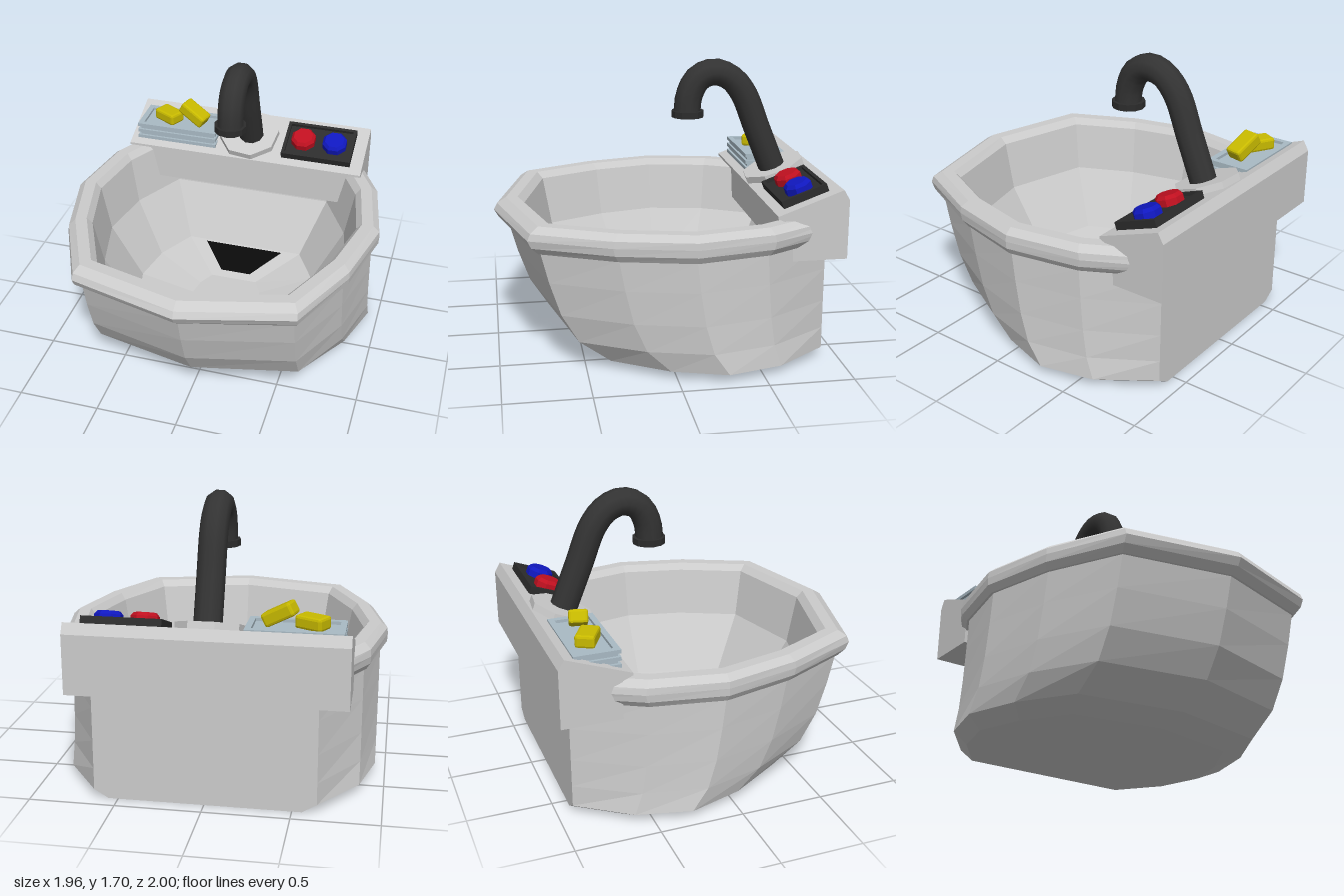
import * as THREE from 'three';
import { RoundedBoxGeometry } from 'three/addons/geometries/RoundedBoxGeometry.js';

const mat = (color, flat = true) =>
  new THREE.MeshStandardMaterial({ color, flatShading: flat, side: THREE.DoubleSide });

function add(parent, name, geometry, material, x = 0, y = 0, z = 0) {
  const mesh = new THREE.Mesh(geometry, material);
  mesh.name = name;
  mesh.position.set(x, y, z);
  parent.add(mesh);
  return mesh;
}

// Plan outline of the basin, from the front point round the left side and back
const half = [[0.64, 0.75], [0.84, 0.33], [0.94, -0.09], [0.86, -0.51], [0.64, -0.91]];
const outline = [[0, 0.91], ...half, ...half.slice().reverse().map(([x, z]) => [-x, z])];

// Each ring is [y, x scale, z scale, z centre of scaling]
function loft(rings) {
  const n = outline.length, pos = [], index = [];
  for (const [y, sx, sz, zc] of rings)
    for (const [x, z] of outline) pos.push(x * sx, y, zc + (z - zc) * sz);
  for (let r = 0; r < rings.length - 1; r++)
    for (let i = 0; i < n; i++) {
      const j = (i + 1) % n, a = r * n + i, b = r * n + j;
      index.push(a, b, b + n, a, b + n, a + n);
    }
  // close the underside and the basin floor
  const last = (rings.length - 1) * n;
  for (let i = 1; i < n - 1; i++) {
    index.push(0, i + 1, i);
    index.push(last, last + i, last + i + 1);
  }
  const g = new THREE.BufferGeometry();
  g.setAttribute('position', new THREE.Float32BufferAttribute(pos, 3));
  g.setIndex(index);
  g.computeVertexNormals();
  return g;
}

// Rectangular frame lying flat, height h
function frame(w, d, wall, h) {
  const s = new THREE.Shape();
  const rect = (p, x, y) =>
    p.moveTo(-x, -y).lineTo(x, -y).lineTo(x, y).lineTo(-x, y).closePath();
  rect(s, w / 2, d / 2);
  const hole = new THREE.Path();
  rect(hole, w / 2 - wall, d / 2 - wall);
  s.holes.push(hole);
  return new THREE.ExtrudeGeometry(s, { depth: h, bevelEnabled: false }).rotateX(-Math.PI / 2);
}

export function createModel() {
  const model = new THREE.Group();
  model.name = 'sink';
  const grey = mat(0xcccccc), dark = mat(0x2c2c2c), black = mat(0x0a0a0a);
  const pipe = mat(0x333333, false);
  const tilt = Math.atan2(0.14, 0.38);

  // Basin: outer wall upward, over the rolled rim, then down inside
  const back = -0.91, mid = -0.1;
  add(model, 'basin', loft([
    [0, 0.87, 0.665, back], [0.05, 1, 0.764, back], [0.18, 1, 0.874, back],
    [0.35, 1, 0.934, back], [0.55, 1, 0.973, back], [0.73, 1, 1, back],
    [0.73, 1.015, 1.015, mid], [0.77, 1.042, 1.06, mid], [0.815, 1.045, 1.085, mid],
    [0.855, 1.042, 1.065, mid], [0.89, 1.0, 1.01, mid], [0.89, 0.925, 0.94, mid],
    [0.85, 0.89, 0.9, mid], [0.55, 0.83, 0.84, mid], [0.2, 0.617, 0.617, mid],
    [0.12, 0.24, 0.26, mid],
  ]), grey);

  // Drain opening in the sloping back of the floor
  const drain = new THREE.BufferGeometry();
  drain.setAttribute('position', new THREE.Float32BufferAttribute(
    [0.27, 0.2, -0.58, -0.27, 0.2, -0.58, -0.1, 0.14, -0.36, 0.1, 0.14, -0.36], 3));
  drain.setIndex([0, 1, 2, 0, 2, 3]);
  drain.computeVertexNormals();
  add(model, 'drain', drain, black);

  // Console across the back: side profile (z, y) extruded along x
  const profile = new THREE.Shape([
    [-0.645, 0.65], [-0.645, 0.88], [-0.585, 0.905], [-0.585, 0.92],
    [-0.965, 1.06], [-1, 1.0], [-1, 0.65],
  ].map(([z, y]) => new THREE.Vector2(-z, y)));
  const consoleGeo = new THREE.ExtrudeGeometry(profile, { depth: 1.58, bevelEnabled: false })
    .translate(0, 0, -0.79).rotateY(Math.PI / 2);
  add(model, 'console', consoleGeo, grey, -0.02);

  // Parts that lie on the sloping top: local y is the slope's normal
  const deck = new THREE.Group();
  deck.name = 'deck';
  deck.position.set(0, 0.99, -0.77);
  deck.rotation.x = tilt;
  model.add(deck);

  add(deck, 'faucetBase',
    new THREE.CylinderGeometry(0.2, 0.2, 0.045, 8).rotateY(Math.PI / 8 - 0.12),
    grey, -0.018, 0.018, 0);

  // Button panel with raised border and two push buttons
  add(deck, 'buttonPanel', new THREE.BoxGeometry(0.46, 0.03, 0.28), dark, 0.46, 0.01, 0);
  add(deck, 'panelBorder', frame(0.46, 0.28, 0.02, 0.02), dark, 0.46, 0.025, 0);
  for (const [name, x, color] of [['hotButton', 0.355, 0xc01020], ['coldButton', 0.565, 0x1018c0]]) {
    const m = mat(color);
    add(deck, name, new THREE.CylinderGeometry(0.083, 0.083, 0.04, 8).rotateY(Math.PI / 8),
      m, x, 0.045, 0);
    add(deck, name + 'Top', new THREE.CylinderGeometry(0.065, 0.083, 0.02, 8).rotateY(Math.PI / 8),
      m, x, 0.075, 0);
  }

  // Faucet pipe and nozzle ring
  const path = new THREE.CatmullRomCurve3([
    [1.0, -0.755], [1.27, -0.645], [1.5, -0.55], [1.595, -0.465], [1.628, -0.365],
    [1.59, -0.27], [1.49, -0.215], [1.365, -0.2],
  ].map(([y, z]) => new THREE.Vector3(0, y, z)));
  add(model, 'faucetPipe', new THREE.TubeGeometry(path, 24, 0.083, 10), pipe);
  add(model, 'nozzle', new THREE.CylinderGeometry(0.1, 0.1, 0.04, 12), dark, 0, 1.375, -0.205);

  // Ribbed soap tray with a shallow recess
  const tray = new THREE.Group();
  tray.name = 'soapTray';
  tray.position.set(-0.495, 0.93, -0.77);
  model.add(tray);
  const blue = mat(0xa9bac4);
  add(tray, 'trayBody', new THREE.BoxGeometry(0.51, 0.1, 0.24), blue, 0, 0.05, 0);
  for (let i = 0; i < 3; i++)
    add(tray, 'trayRib', frame(0.545, 0.27, 0.035, 0.022), blue, 0, 0.01 + i * 0.043, 0);

  // Two sponges with chamfered edges
  const yellow = mat(0xc8ba00);
  const lower = add(model, 'lowerSponge', new RoundedBoxGeometry(0.17, 0.075, 0.115, 1, 0.015),
    yellow, -0.585, 1.07, -0.77);
  lower.rotation.y = -0.5;
  const upper = add(model, 'upperSponge', new RoundedBoxGeometry(0.19, 0.08, 0.11, 1, 0.015),
    yellow, -0.405, 1.11, -0.77);
  upper.rotation.set(0, -0.25, -0.5);

  return model;
}
